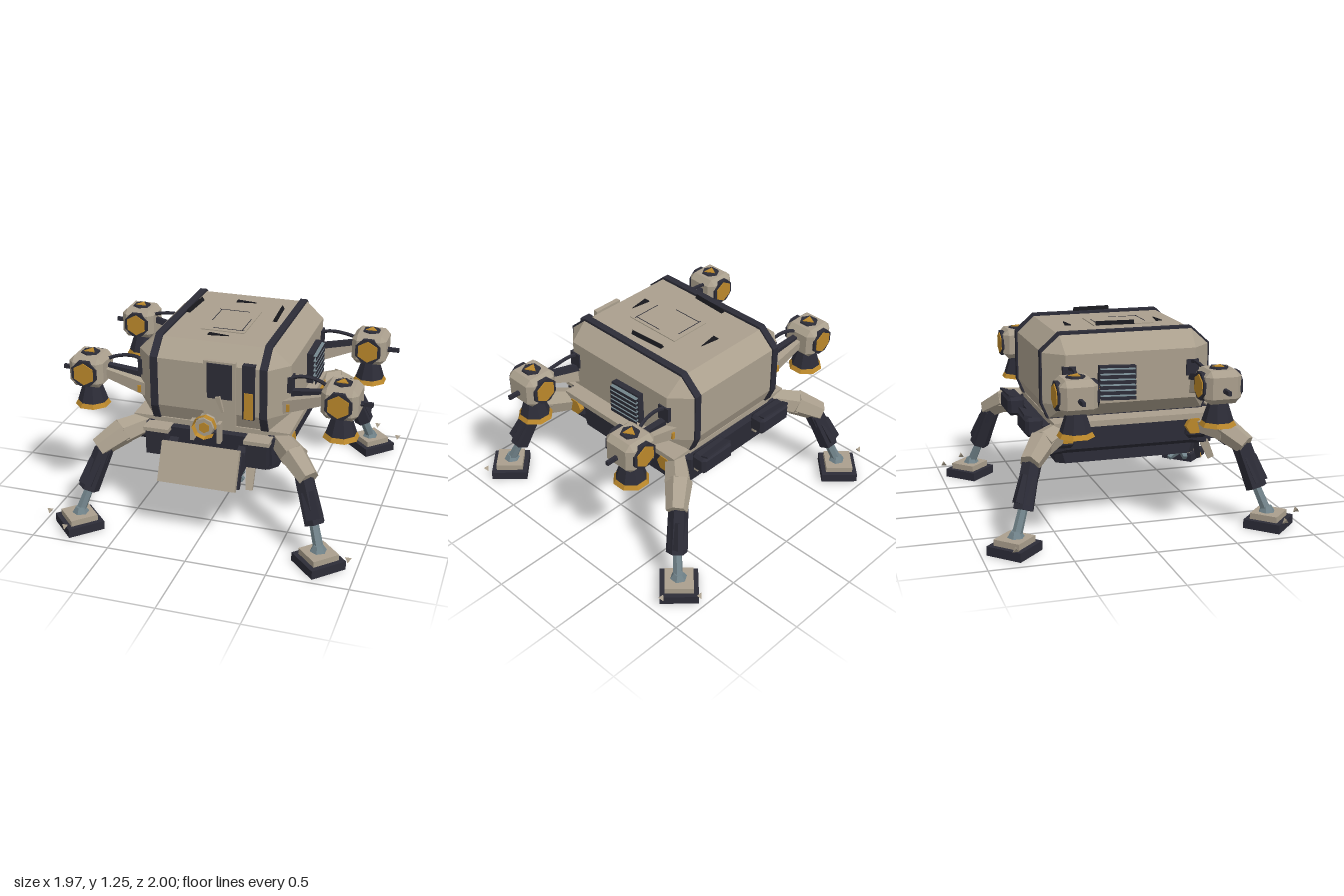
import * as THREE from 'three';
import { ConvexGeometry } from 'three/addons/geometries/ConvexGeometry.js';

const mat = (name, color, side = THREE.FrontSide) => {
  const m = new THREE.MeshStandardMaterial({ color, flatShading: true, side });
  m.name = name;
  return m;
};
const V = (x, y, z) => new THREE.Vector3(x, y, z);

export function createModel() {
  const root = new THREE.Group();
  root.name = 'lander';
  const tan = mat('tan plating', 0xaa9f8d), dark = mat('dark metal', 0x2c2c37);
  const black = mat('black trim', 0x17171c), gold = mat('gold', 0xbb882b, THREE.DoubleSide);
  const steel = mat('steel', 0x71838a);

  const add = (name, geo, m, p = [0, 0, 0], r = [0, 0, 0], parent = root) => {
    const mesh = new THREE.Mesh(geo, m);
    mesh.name = name;
    mesh.position.set(...p);
    mesh.rotation.set(...r);
    parent.add(mesh);
    return mesh;
  };
  const box = (name, m, size, p, r, parent) => add(name, new THREE.BoxGeometry(...size), m, p, r, parent);
  const cyl = (name, m, r1, r2, h, n, p, r, parent) => add(name, new THREE.CylinderGeometry(r1, r2, h, n), m, p, r, parent);
  // tapered prism between two points
  const strut = (name, m, a, b, ra, rb, n = 6, parent = root) => {
    const d = b.clone().sub(a), g = new THREE.CylinderGeometry(rb, ra, d.length(), n);
    g.rotateY(Math.PI / n);
    const s = add(name, g, m, a.clone().add(b).multiplyScalar(0.5).toArray(), [0, 0, 0], parent);
    s.quaternion.setFromUnitVectors(V(0, 1, 0), d.normalize());
    return s;
  };
  // solid through [x, profile] sections, each profile a list of [half z, y]
  const solid = (name, m, sections) => {
    const pts = [];
    for (const [x, prof] of sections) for (const [z, y] of prof) pts.push(V(x, y, z), V(x, y, -z));
    return add(name, new ConvexGeometry(pts), m);
  };
  // box with cut corners
  const chamferBox = (w, h, d, c) => {
    const pts = [];
    for (const x of [-1, 1]) for (const y of [-1, 1]) for (const z of [-1, 1]) {
      pts.push(V(x * w, y * (h - c), z * (d - c)), V(x * (w - c), y * h, z * (d - c)), V(x * (w - c), y * (h - c), z * d));
    }
    return new ConvexGeometry(pts);
  };

  // Cabin
  const full = [[0.42, 1.19], [0.53, 1.09], [0.53, 0.78], [0.49, 0.685]];
  const end = [[0.41, 1.09], [0.41, 0.78]];
  solid('cabin', tan, [[-0.48, end], [-0.37, full], [0.37, full], [0.48, end]]);
  const bandProfile = [[0.42, 1.206], [0.54, 1.097], [0.54, 0.775], [0.5, 0.68]];
  for (const s of [-1, 1]) solid('cabinBand', dark, [[s * 0.322, bandProfile], [s * 0.368, bandProfile]]);

  // Roof hatch outline, blades and marks
  box('hatch', tan, [0.28, 0.016, 0.39], [0, 1.188, 0.055]);
  for (const s of [-1, 1]) {
    box('hatchSeam', dark, [0.004, 0.004, 0.2], [s * 0.115, 1.196, 0.055 + s * 0.06]);
    box('hatchSeam', dark, [0.2, 0.004, 0.004], [s * 0.03, 1.196, 0.055 + s * 0.16]);
    cyl('roofBlade', black, 0.016, 0.016, 0.24, 3, [s * 0.275, 1.23, -0.045], [-Math.PI / 2, 0, s * 0.06]);
    add('roofMark', new ConvexGeometry([V(-0.07, 1.18, -0.02), V(-0.07, 1.18, 0.02), V(0.06, 1.18, 0),
      V(-0.07, 1.196, -0.02), V(-0.07, 1.196, 0.02), V(0.06, 1.196, 0)]), black, [0, 0, 0.01 + s * 0.3]);
  }

  // Front door, window and stripe
  box('doorFrame', tan, [0.2, 0.42, 0.03], [0.075, 0.91, 0.535]);
  box('doorWindow', dark, [0.155, 0.225, 0.008], [0.077, 0.995, 0.553]);
  strut('doorLatch', tan, V(0.07, 0.9, 0.56), V(0.1, 0.8, 0.56), 0.022, 0.01, 4);
  box('frontStripe', dark, [0.075, 0.35, 0.04], [0.255, 0.94, 0.53]);
  box('frontStripeInlay', gold, [0.055, 0.17, 0.008], [0.258, 0.855, 0.552]);

  // Side vents
  for (const s of [-1, 1]) {
    box('ventBack', dark, [0.05, 0.2, 0.23], [s * 0.495, 0.915, -0.1], [0.04, 0, 0]);
    for (let i = 0; i < 6; i++) {
      const y = 0.835 + i * 0.033;
      box('ventSlat', steel, [0.045, 0.006, 0.22], [s * 0.518, y, -0.1], [0.04, 0, s * -0.25]);
      box('ventLip', dark, [0.006, 0.022, 0.224], [s * 0.538, y - 0.014, -0.1], [0.04, 0, 0]);
    }
  }

  // Lower deck
  box('deckPlate', tan, [1.0, 0.036, 0.98], [0, 0.662, 0]);
  solid('deckBody', dark, [[-0.46, [[0.42, 0.645], [0.4, 0.5]]], [-0.4, [[0.54, 0.645], [0.52, 0.46]]],
    [0.4, [[0.54, 0.645], [0.52, 0.46]]], [0.46, [[0.42, 0.645], [0.4, 0.5]]]]);
  solid('keel', dark, [[-0.41, [[0.42, 0.47], [0.4, 0.4]]], [-0.36, [[0.46, 0.47], [0.45, 0.395]]],
    [0.36, [[0.46, 0.47], [0.45, 0.395]]], [0.41, [[0.42, 0.47], [0.4, 0.4]]]]);
  for (const s of [-1, 1]) {
    add('rearLocker', chamferBox(0.13, 0.06, 0.055, 0.02), dark, [s * 0.265, 0.635, -0.585]);
    box('rearLockerLid', dark, [0.22, 0.012, 0.05], [s * 0.265, 0.7, -0.615], [0.3, s * 0.06, 0]);
    box('rearTrim', tan, [0.2, 0.03, 0.03], [s * 0.265, 0.56, -0.545]);
    box('frontLocker', dark, [0.13, 0.15, 0.1], [s * 0.32, 0.55, 0.55]);
    box('frontSill', tan, [0.16, 0.025, 0.12], [s * 0.32, 0.637, 0.54]);
  }

  // Front ramp with its frame
  const ramp = new THREE.Group();
  ramp.name = 'ramp';
  ramp.position.set(0, 0.5, 0.715);
  ramp.rotation.x = -0.42;
  root.add(ramp);
  box('rampPanel', tan, [0.49, 0.25, 0.035], [0, 0, 0.01], undefined, ramp);
  box('rampBacking', dark, [0.51, 0.22, 0.045], [0, 0, -0.03], undefined, ramp);
  for (const s of [-1, 1]) {
    strut('rampArm', dark, V(s * 0.22, 0.56, 0.5), V(s * 0.22, 0.48, 0.7), 0.04, 0.035, 4);
    strut('rampSkid', tan, V(s * 0.275, 0.46, 0.54), V(s * 0.28, 0.32, 0.6), 0.04, 0.03, 4);
    box('lampPost', tan, [0.022, 0.13, 0.05], [s * 0.085, 0.67, 0.575]);
  }
  box('chinBlock', dark, [0.46, 0.12, 0.14], [0, 0.47, 0.55]);

  // Front lamp
  add('lampRing', new THREE.CylinderGeometry(0.076, 0.07, 0.05, 8, 1, true), gold, [0, 0.71, 0.605], [Math.PI / 2, 0, 0]);
  cyl('lampBody', tan, 0.058, 0.065, 0.1, 8, [0, 0.71, 0.565], [Math.PI / 2, 0, 0]);
  cyl('lampLens', gold, 0.035, 0.035, 0.008, 6, [0, 0.71, 0.618], [Math.PI / 2, 0, 0]);

  // Steel claws below the chin, one hub with splayed tines on each side
  for (const s of [-1, 1]) {
    const hub = V(s * 0.12, 0.36, 0.46);
    strut('clawHub', steel, V(s * 0.12, 0.42, 0.5), hub.clone(), 0.05, 0.06, 6);
    for (let i = 0; i < 5; i++) {
      const a = i * Math.PI * 0.4 + 0.3;
      const tip = V(s * (0.12 + Math.cos(a) * 0.085), 0.3 + (i % 2) * 0.03, 0.43 + Math.sin(a) * 0.09);
      strut('clawTine', steel, hub.clone(), tip, 0.042, 0.018, 4);
    }
    strut('clawMount', dark, V(s * 0.2, 0.42, 0.52), V(s * 0.17, 0.29, 0.56), 0.035, 0.02, 4);
    strut('clawJoint', gold, V(s * 0.14, 0.32, 0.56), V(s * 0.155, 0.28, 0.575), 0.02, 0.015, 5);
  }

  for (const sx of [-1, 1]) for (const sz of [-1, 1]) {
    const P = (x, y, z) => V(sx * x, y, sz * z);
    const yaw = Math.PI / 4;

    // Leg
    const leg = new THREE.Group();
    leg.name = (sz > 0 ? 'front' : 'rear') + (sx > 0 ? 'Left' : 'Right') + 'Leg';
    root.add(leg);
    add('hipBlock', chamferBox(0.075, 0.075, 0.075, 0.025), dark, P(0.42, 0.59, 0.43).toArray(), [0, 0, 0], leg);
    cyl('hipCap', gold, 0.055, 0.06, 0.03, 6, P(0.49, 0.6, 0.405).toArray(), [0, 0, -sx * Math.PI / 2], leg);
    strut('upperThigh', tan, P(0.43, 0.61, 0.44), P(0.56, 0.58, 0.585), 0.07, 0.085, 6, leg);
    strut('lowerThigh', tan, P(0.54, 0.59, 0.57), P(0.67, 0.5, 0.68), 0.085, 0.065, 6, leg);
    strut('knee', dark, P(0.625, 0.53, 0.645), P(0.66, 0.42, 0.68), 0.058, 0.058, 6, leg);
    strut('shin', dark, P(0.64, 0.49, 0.665), P(0.725, 0.24, 0.735), 0.06, 0.066, 6, leg);
    strut('shinGuard', dark, P(0.675, 0.43, 0.695), P(0.73, 0.28, 0.75), 0.055, 0.06, 4, leg);
    strut('ankleRod', steel, P(0.715, 0.26, 0.73), P(0.77, 0.09, 0.79), 0.028, 0.032, 6, leg);
    cyl('ankleJoint', steel, 0.03, 0.055, 0.04, 6, P(0.765, 0.11, 0.79).toArray(), [0, 0, 0], leg);
    box('footPad', dark, [0.235, 0.056, 0.235], P(0.77, 0.028, 0.8).toArray(), [0, yaw, 0], leg);
    box('footPlate', tan, [0.175, 0.038, 0.175], P(0.77, 0.075, 0.8).toArray(), [0, yaw, 0], leg);
    add('footSpike', new THREE.TetrahedronGeometry(0.024), tan, P(0.955, 0.09, 0.83).toArray(), [0, yaw, 0], leg);
    if (sx * sz < 0) {
      add('footSpike', new THREE.TetrahedronGeometry(0.024), tan, P(0.785, 0.09, 0.98).toArray(), [0, yaw, 0], leg);
    }

    // Thruster pod
    const pod = new THREE.Group();
    pod.name = 'thrusterPod';
    pod.position.copy(P(0.8, 0.93, 0.435));
    root.add(pod);
    add('podBody', chamferBox(0.112, 0.1, 0.112, 0.035), tan, [0, 0, 0], [0, 0, 0], pod);
    for (const s of [-1, 1]) {
      cyl('podFaceRing', dark, 0.088, 0.088, 0.03, 8, [0, 0, s * 0.107], [Math.PI / 2, Math.PI / 8, 0], pod);
      cyl('podFace', gold, 0.072, 0.072, 0.008, 6, [0, 0, s * 0.124], [Math.PI / 2, 0, 0], pod);
    }
    cyl('podCap', dark, 0.057, 0.064, 0.02, 6, [0, 0.1, 0], [0, 0, 0], pod);
    cyl('podCapMark', gold, 0.042, 0.042, 0.006, 3, [0, 0.112, 0], [0, Math.PI, 0], pod);
    cyl('podNub', dark, 0.014, 0.02, 0.03, 6, [sx * 0.115, -0.015, 0], [0, 0, -sx * Math.PI / 2], pod);
    box('podProbe', dark, [0.07, 0.026, 0.02], [sx * 0.15, -0.015, 0], undefined, pod);
    cyl('nozzle', dark, 0.052, 0.098, 0.14, 8, [0, -0.155, 0], [0, Math.PI / 8, 0], pod);
    cyl('nozzleRim', gold, 0.096, 0.112, 0.028, 8, [0, -0.232, 0], [0, Math.PI / 8, 0], pod);
    cyl('nozzleBore', black, 0.05, 0.05, 0.004, 4, [0, -0.247, 0], [0, 0, 0], pod);

    // Pod arm, root bracket and hose
    strut('podArm', tan, P(0.43, 0.83, 0.41), P(0.71, 0.92, 0.435), 0.06, 0.04, 4);
    strut('armBrace', dark, P(0.43, 0.9, 0.38), P(0.71, 0.95, 0.42), 0.028, 0.025, 4);
    box('armBracket', dark, [0.05, 0.1, 0.08], P(0.465, 0.97, 0.39).toArray());
    box('armMark', gold, [0.02, 0.045, 0.05], P(0.475, 0.835, 0.44).toArray());
    const hose = new THREE.CatmullRomCurve3([P(0.46, 1.0, 0.39), P(0.54, 1.02, 0.385), P(0.64, 1.01, 0.39), P(0.72, 0.98, 0.41)]);
    add('hose', new THREE.TubeGeometry(hose, 8, 0.012, 5), dark);
  }
  return root;
}
